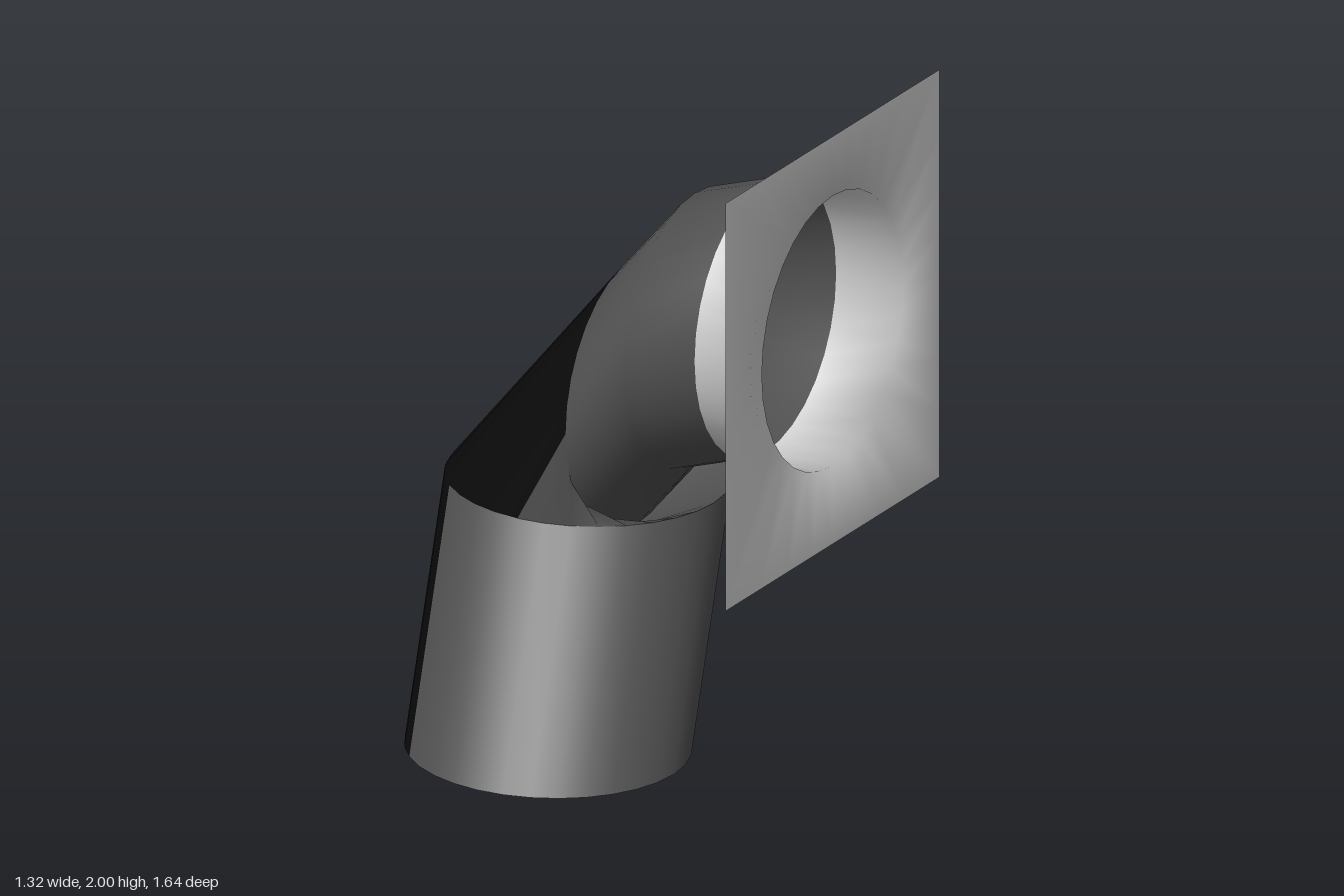
import * as THREE from 'three';

const SIDES = 32, R = 0.448, CZ = -0.146;

const material = (name, color) =>
  new THREE.MeshStandardMaterial({ name, color, side: THREE.DoubleSide });

// Upright ring facing along x, and level ring facing along y.
// Angle 0 is always on the outer side of the bend.
const upright = (x, y) => t => [x, y + R * Math.cos(t), CZ + R * Math.sin(t)];
const level = (x, y, z) => t =>
  [x - R * Math.cos(t), y + 0.0125 * Math.cos(t), z + R * Math.sin(t)];

// Square outline sampled at the same angles as the rings
const square = (x, y, half) => t => {
  const c = Math.cos(t), s = Math.sin(t);
  const k = half / Math.max(Math.abs(c), Math.abs(s));
  return [x, y + k * c, CZ + k * s];
};

// Skin between sections, over the steps from..to around the pipe
function loft(sections, from = 0, to = SIDES) {
  const count = to - from, closed = count === SIDES;
  const cols = closed ? count : count + 1;
  const positions = [], index = [];
  for (const section of sections)
    for (let i = 0; i < cols; i++)
      positions.push(...section((from + i) / SIDES * Math.PI * 2));
  for (let r = 0; r < sections.length - 1; r++)
    for (let i = 0; i < count; i++) {
      const j = (i + 1) % cols;
      const a = r * cols + i, b = r * cols + j, c = a + cols, d = b + cols;
      index.push(a, b, c, b, d, c);
    }
  const geometry = new THREE.BufferGeometry();
  geometry.setAttribute('position', new THREE.Float32BufferAttribute(positions, 3));
  geometry.setIndex(index);
  geometry.computeVertexNormals();
  return geometry;
}

export function createModel() {
  const group = new THREE.Group();
  group.name = 'pipeElbow';
  const light = material('lightGrey', 0xd0d0d0);
  const dark = material('darkGrey', 0x505050);
  const black = material('black', 0x0a0a0a);

  const add = (name, mat, sections, from, to) => {
    const mesh = new THREE.Mesh(loft(sections, from, to), mat);
    mesh.name = name;
    group.add(mesh);
  };

  const mouth = upright(0.66, 1.355), collar = upright(0.42, 1.355);
  const bend = upright(0.17, 1.275), throat = upright(-0.04, 1.03);
  const knee = level(-0.212, 0.717, CZ), foot = level(-0.063, 0.0125, 0.372);
  const quarter = SIDES / 4, eighth = SIDES / 8;

  // Square wall plate running smoothly into the short collar
  add('wallPlateAndCollar', light, [square(0.66, 1.323, 0.677), mouth, collar]);

  // Upper bend
  add('upperBend', dark, [throat, bend, collar]);

  // Middle section: black outer half, grey inner half
  add('middleOuter', black, [knee, throat], -quarter, quarter);
  add('middleInner', dark, [knee, throat], quarter, 3 * quarter);

  // Lower pipe with a black strip along its outer side
  add('lowerPipeStrip', black, [foot, knee], -eighth, eighth);
  add('lowerPipe', dark, [foot, knee], eighth, SIDES - eighth);

  return group;
}
